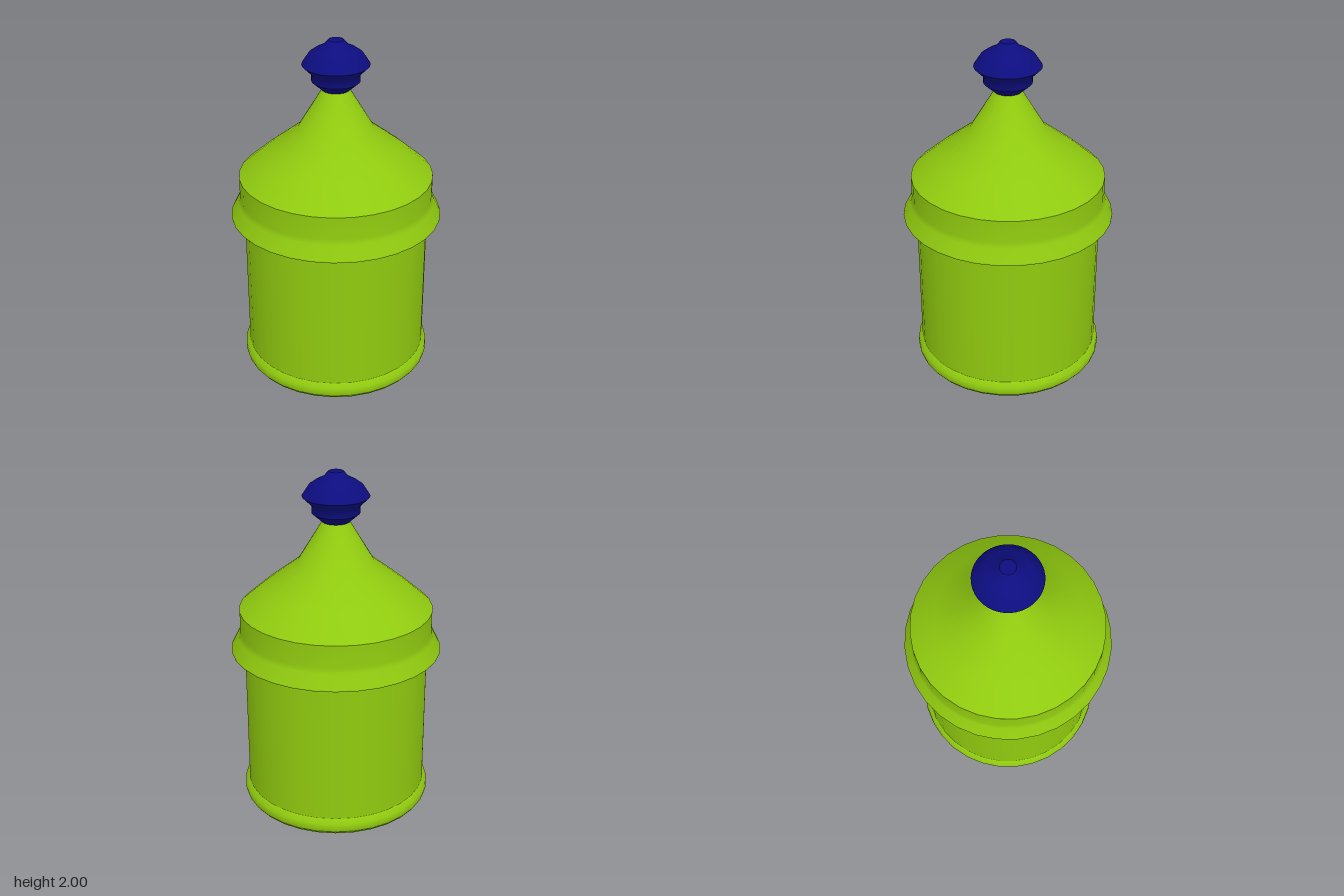
import * as THREE from 'three';

export function createModel() {
  const model = new THREE.Group();
  const green = new THREE.MeshStandardMaterial({ color: 0x90ca0f });
  green.name = 'lime green';
  const blue = new THREE.MeshStandardMaterial({ color: 0x0d0d80 });
  blue.name = 'navy blue';

  // Turned part: each profile runs bottom to top and is smooth; edges between profiles stay sharp
  function turned(name, material, segments, profiles) {
    const part = new THREE.Group();
    part.name = name;
    profiles.forEach((profile, i) => {
      const points = profile.map(([r, y]) => new THREE.Vector2(r, y));
      const mesh = new THREE.Mesh(new THREE.LatheGeometry(points, segments), material);
      mesh.name = `${name}Surface${i + 1}`;
      part.add(mesh);
    });
    model.add(part);
  }

  // Recessed underside, with the foot ring around it
  turned('foot', green, 32, [
    [[0, 0.075], [0.31, 0.075]],
    [[0.31, 0.075], [0.335, 0.035], [0.395, 0.005]],
    [[0.395, 0.005], [0.4, 0]],
    [[0.4, 0], [0.405, 0.014]],
    [[0.405, 0.014], [0.52, 0.018]],
    [[0.52, 0.018], [0.535, 0.02], [0.55, 0.04]],
    [[0.55, 0.04], [0.555, 0.06], [0.553, 0.09], [0.53, 0.115]],
  ]);

  // Straight jar wall
  turned('jarWall', green, 32, [[[0.53, 0.115], [0.53, 0.95]]]);

  // Lid with flared rim, upright band and stepped cone
  turned('lid', green, 32, [
    [[0.52, 0.945], [0.605, 0.965]],
    [[0.605, 0.965], [0.605, 0.972]],
    [[0.605, 0.972], [0.565, 1.05], [0.553, 1.08], [0.553, 1.21]],
    [[0.553, 1.21], [0.41, 1.335], [0.215, 1.488], [0.075, 1.72]],
  ]);

  // Knob
  turned('knob', blue, 48, [
    [[0, 1.715], [0.075, 1.715]],
    [[0.075, 1.715], [0.135, 1.768]],
    [[0.135, 1.768], [0.135, 1.81], [0.188, 1.862]],
    [[0.188, 1.862], [0.15, 1.92], [0.115, 1.945], [0.07, 1.968], [0.042, 2]],
    [[0.042, 2], [0, 2]],
  ]);

  return model;
}
